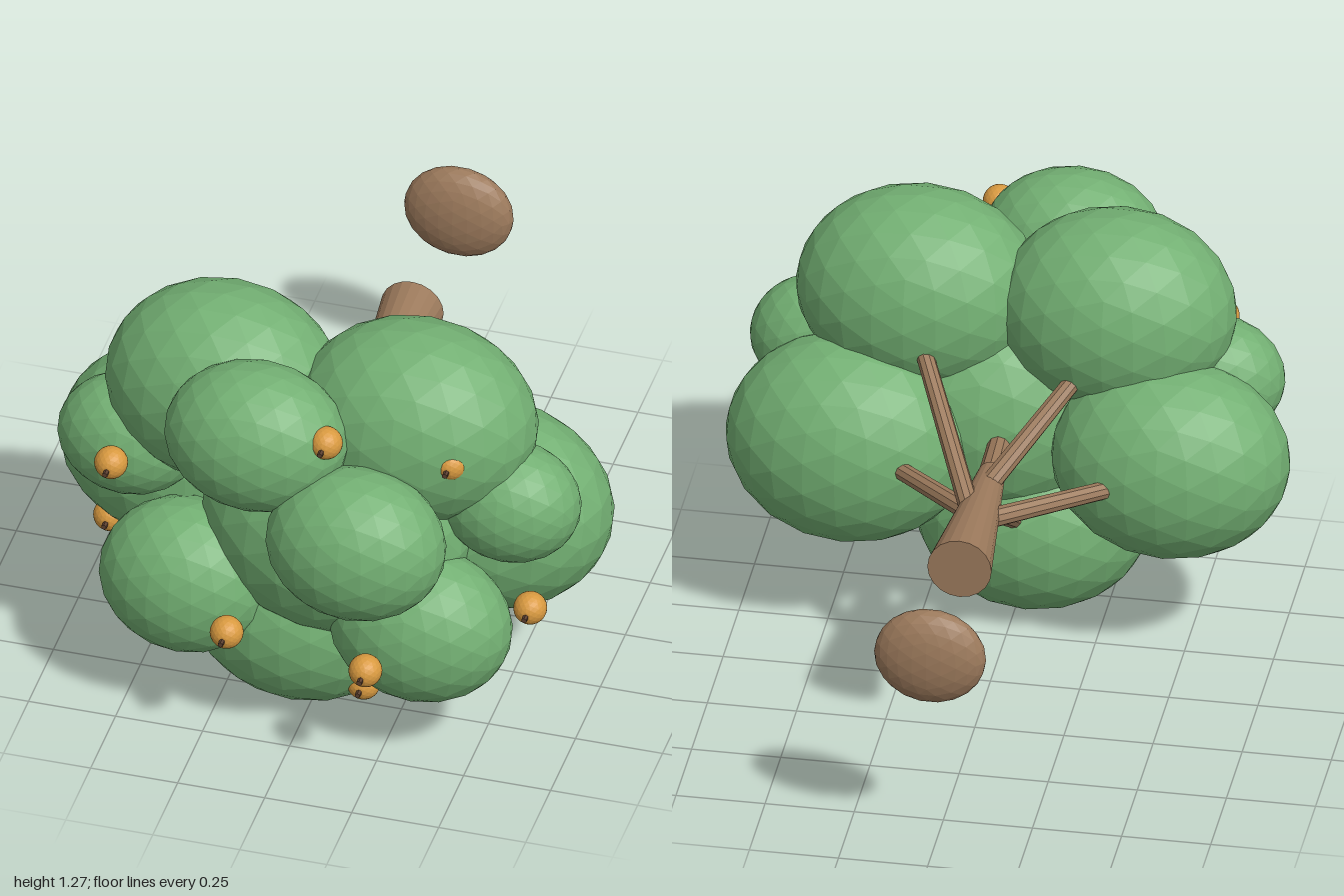
import * as THREE from 'three';

export function createModel() {
  const root = new THREE.Group();
  root.name = 'fruitTree';

  const mat = (name, color) => {
    const m = new THREE.MeshStandardMaterial({ color, flatShading: true });
    m.name = name;
    return m;
  };
  const leaf = mat('leafGreen', 0x73b073);
  const bark = mat('barkBrown', 0x9c7a5c);
  const orange = mat('fruitOrange', 0xd99a40);
  const stemBrown = mat('stemBrown', 0x5c4030);

  const add = (name, geo, material, pos) => {
    const mesh = new THREE.Mesh(geo, material);
    mesh.name = name;
    if (pos) mesh.position.set(...pos);
    root.add(mesh);
    return mesh;
  };

  // Tapered limb between two points
  const limb = (name, a, b, ra, rb, sides, material) => {
    const from = new THREE.Vector3(...a);
    const dir = new THREE.Vector3(...b).sub(from);
    const geo = new THREE.CylinderGeometry(rb, ra, dir.length(), sides);
    const mesh = add(name, geo, material);
    mesh.position.copy(from).addScaledVector(dir, 0.5);
    mesh.quaternion.setFromUnitVectors(new THREE.Vector3(0, 1, 0), dir.normalize());
  };

  // Faceted ball reused for foliage, fruit and the base
  const ball = new THREE.IcosahedronGeometry(1, 3);

  // Foliage clumps: centre, then radii
  const clumps = [
    [-0.28, 0.98, 0.43, 0.335, 0.295, 0.26],
    [0.28, 0.98, 0.455, 0.345, 0.295, 0.265],
    [0.44, 0.59, 0.27, 0.35, 0.305, 0.265],
    [-0.46, 0.62, 0.26, 0.335, 0.29, 0.255],
    [-0.04, 0.29, 0.46, 0.33, 0.285, 0.26],
    [0.07, 0.63, 0.49, 0.39, 0.345, 0.3],
    [-0.11, 1.015, 0.7, 0.26, 0.22, 0.195],
    [0.205, 0.78, 0.8, 0.255, 0.225, 0.197],
    [-0.335, 0.43, 0.61, 0.248, 0.23, 0.195],
    [0.345, 0.42, 0.64, 0.26, 0.23, 0.197],
    [-0.54, 0.77, 0.465, 0.205, 0.18, 0.155],
    [0.56, 0.775, 0.487, 0.2, 0.178, 0.158],
  ];
  clumps.forEach(([x, y, z, rx, ry, rz]) => {
    add('foliageClump', ball, leaf, [x, y, z]).scale.set(rx, ry, rz);
  });

  // Trunk and its continuation into the crown
  limb('trunk', [0.005, 0.645, -0.465], [0.005, 0.645, 0.05], 0.09, 0.038, 20, bark);
  limb('leader', [0.005, 0.645, 0.0], [0.02, 0.64, 0.4], 0.036, 0.028, 10, bark);

  // Branches reaching the five rear clumps
  const branches = [
    [[0.0, 0.66, -0.04], [-0.28, 0.95, 0.35]],
    [[0.03, 0.665, -0.17], [0.28, 0.97, 0.34]],
    [[0.02, 0.645, -0.17], [0.42, 0.6, 0.22]],
    [[-0.01, 0.64, -0.19], [-0.44, 0.62, 0.15]],
    [[0.0, 0.63, -0.11], [-0.03, 0.33, 0.32]],
  ];
  branches.forEach(([a, b]) => limb('branch', a, b, 0.029, 0.024, 10, bark));

  // Rounded disc beyond the foot of the trunk
  add('base', ball, bark, [0.005, 0.645, -0.932]).scale.set(0.157, 0.145, 0.068);

  // Fruit with short stems
  const fruits = [
    [0.11, 1.085, 0.77], [0.65, 0.51, 0.605], [0.255, 0.41, 0.88],
    [0.45, 0.33, 0.42], [0.17, 0.15, 0.6], [-0.53, 0.83, 0.69],
    [-0.155, 0.43, 0.84], [0.435, 0.995, 0.65], [-0.62, 0.415, 0.385],
  ];
  const fruitGeo = new THREE.IcosahedronGeometry(0.047, 3);
  fruits.forEach(([x, y, z]) => {
    add('fruit', fruitGeo, orange, [x, y, z]);
    limb('fruitStem', [x, y, z + 0.03], [x, y, z + 0.064], 0.008, 0.008, 6, stemBrown);
  });

  return root;
}
